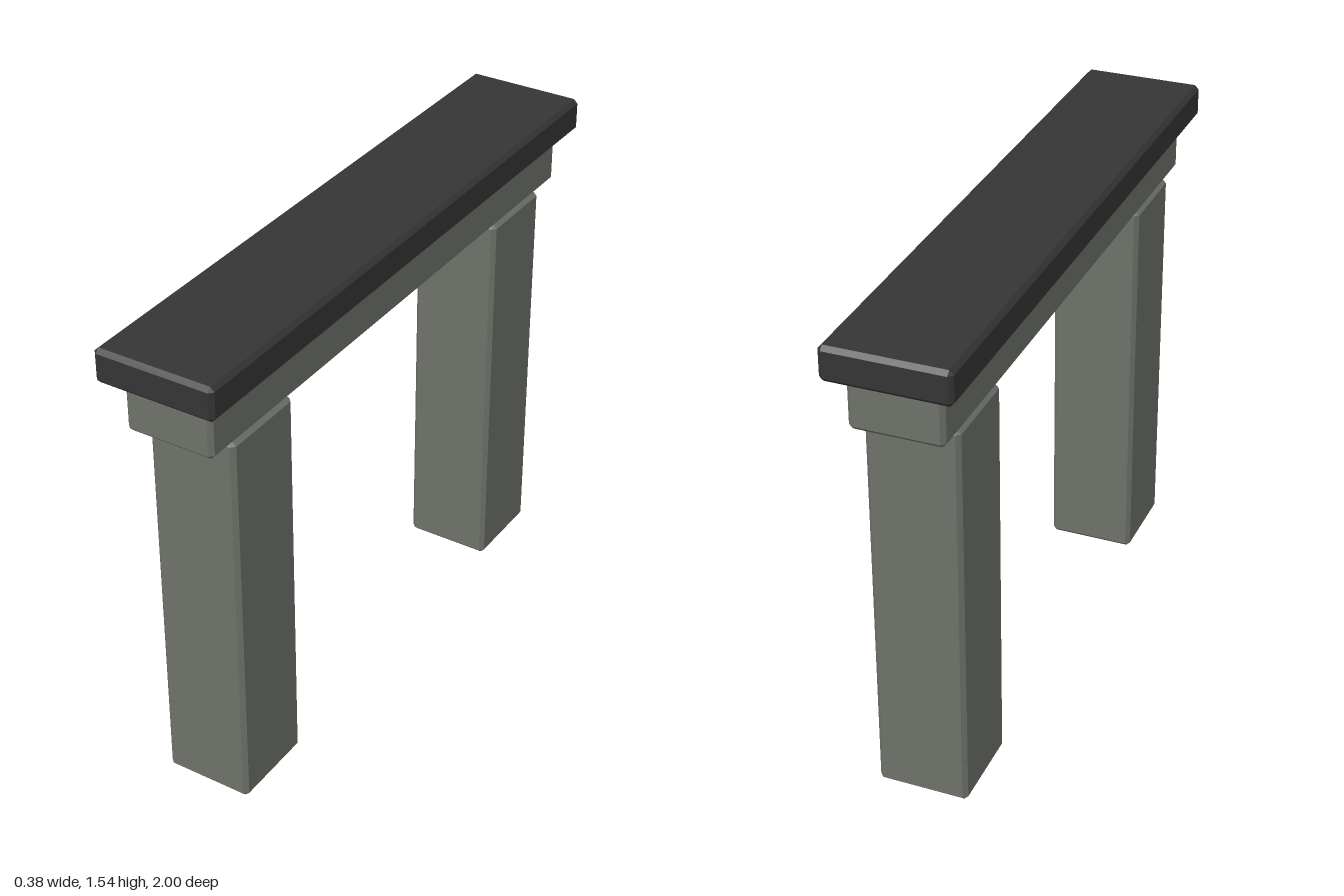
import * as THREE from 'three';
import { ConvexGeometry } from 'three/addons/geometries/ConvexGeometry.js';

// Box with flat chamfers on every edge
function chamferedBox(w, h, d, c) {
  const pts = [];
  for (const sx of [-1, 1]) for (const sy of [-1, 1]) for (const sz of [-1, 1]) {
    const x = w / 2, y = h / 2, z = d / 2;
    pts.push(
      new THREE.Vector3(sx * x, sy * (y - c), sz * (z - c)),
      new THREE.Vector3(sx * (x - c), sy * y, sz * (z - c)),
      new THREE.Vector3(sx * (x - c), sy * (y - c), sz * z)
    );
  }
  return new ConvexGeometry(pts);
}

export function createModel() {
  const model = new THREE.Group();
  model.name = 'stoneArch';

  const stone = new THREE.MeshStandardMaterial({ color: 0x6e716a, flatShading: true });
  stone.name = 'grey stone';
  const slate = new THREE.MeshStandardMaterial({ color: 0x353535, flatShading: true });
  slate.name = 'dark slate';

  function addBlock(name, material, w, y0, y1, d, z = 0) {
    const mesh = new THREE.Mesh(chamferedBox(w, y1 - y0, d, 0.013), material);
    mesh.name = name;
    mesh.position.set(0, (y0 + y1) / 2, z);
    model.add(mesh);
  }

  // Two square posts
  addBlock('frontPost', stone, 0.28, 0, 1.265, 0.285, 0.705);
  addBlock('backPost', stone, 0.28, 0, 1.265, 0.285, -0.705);

  // Lintel, its top edge sunk into the cap
  addBlock('lintel', stone, 0.28, 1.265, 1.445, 1.886);

  // Overhanging cap slab
  addBlock('capSlab', slate, 0.38, 1.43, 1.537, 2);

  return model;
}
